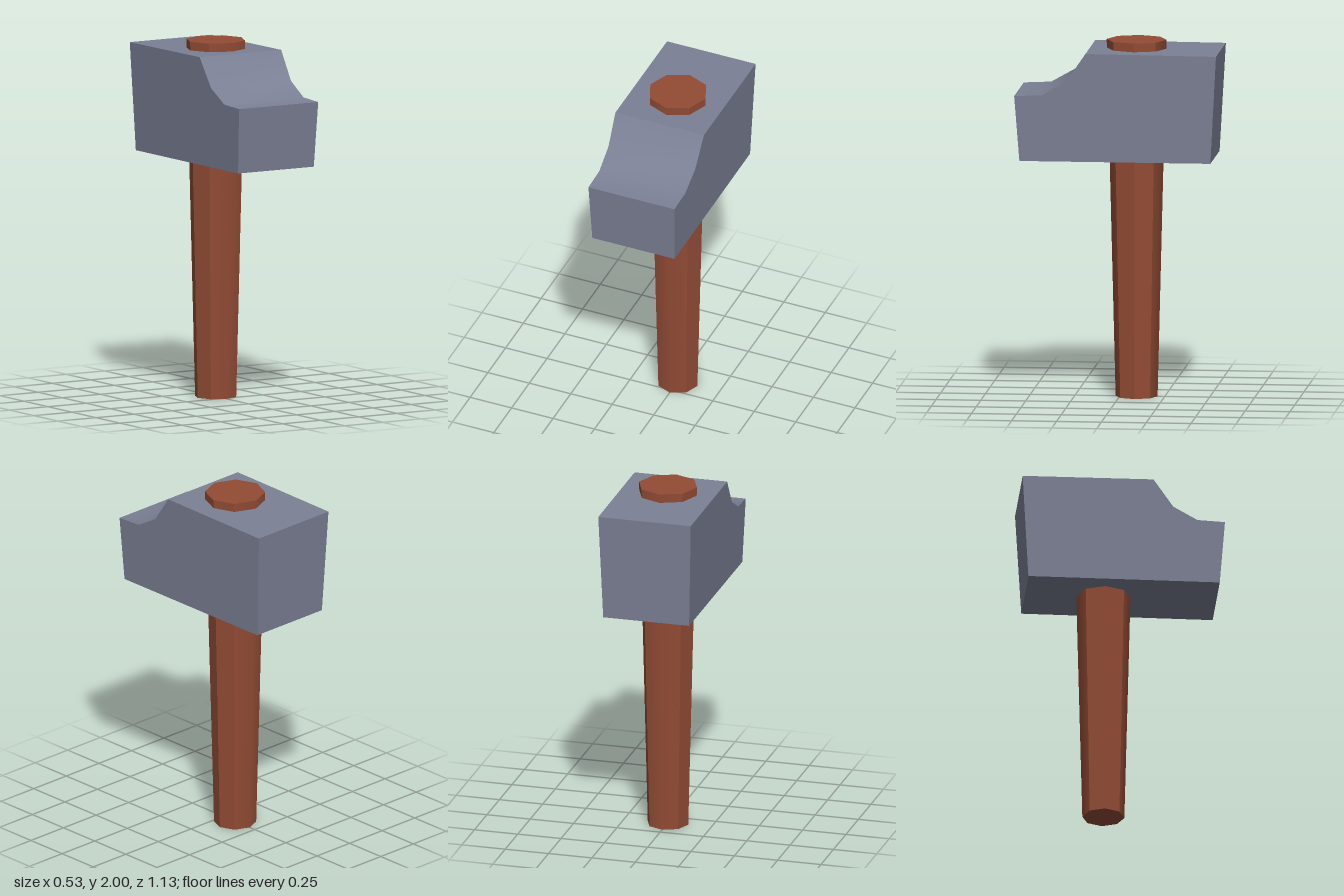
import * as THREE from 'three';
import { toCreasedNormals } from 'three/addons/utils/BufferGeometryUtils.js';

const steel = new THREE.MeshStandardMaterial({ name: 'blue grey steel', color: 0x7b8095 });
const wood = new THREE.MeshStandardMaterial({ name: 'red brown wood', color: 0x934c35 });

// Side profile of the head as (z, y), extruded across x and flared towards the top
function makeHead() {
  const profile = [
    [0.535, 1.345], [0.563, 1.71], [0.41, 1.717], [0.275, 1.793],
    [0.165, 1.953], [-0.563, 1.948], [-0.53, 1.345],
  ];
  const shape = new THREE.Shape(profile.map(([z, y]) => new THREE.Vector2(z, y)));
  const geo = new THREE.ExtrudeGeometry(shape, { depth: 2, bevelEnabled: false });
  geo.translate(0, 0, -1).rotateY(-Math.PI / 2);
  const pos = geo.attributes.position;
  for (let i = 0; i < pos.count; i++) {
    const halfWidth = 0.248 + (pos.getY(i) - 1.345) * 0.0314;
    pos.setX(i, pos.getX(i) * halfWidth);
  }
  // The curved shoulder stays smooth, every other edge sharp
  const head = new THREE.Mesh(toCreasedNormals(geo, Math.PI / 4.5), steel);
  head.name = 'head';
  return head;
}

// Octagonal tapered shaft, running through the head and out of the top
function makeHandle() {
  const geo = new THREE.CylinderGeometry(0.167, 0.117, 2, 8).toNonIndexed();
  geo.computeVertexNormals();
  // Soften only the front and back edges
  const pos = geo.attributes.position;
  const normal = geo.attributes.normal;
  for (let i = 0; i < pos.count; i++) {
    if (Math.abs(normal.getY(i)) < 0.5 && Math.abs(pos.getX(i)) < 1e-4) {
      normal.setXYZ(i, 0, normal.getY(i), Math.sign(pos.getZ(i)));
    }
  }
  geo.normalizeNormals();
  const handle = new THREE.Mesh(geo, wood);
  handle.name = 'handle';
  handle.position.set(0, 1, -0.093);
  return handle;
}

export function createModel() {
  const hammer = new THREE.Group();
  hammer.name = 'hammer';
  hammer.add(makeHead(), makeHandle());
  return hammer;
}
